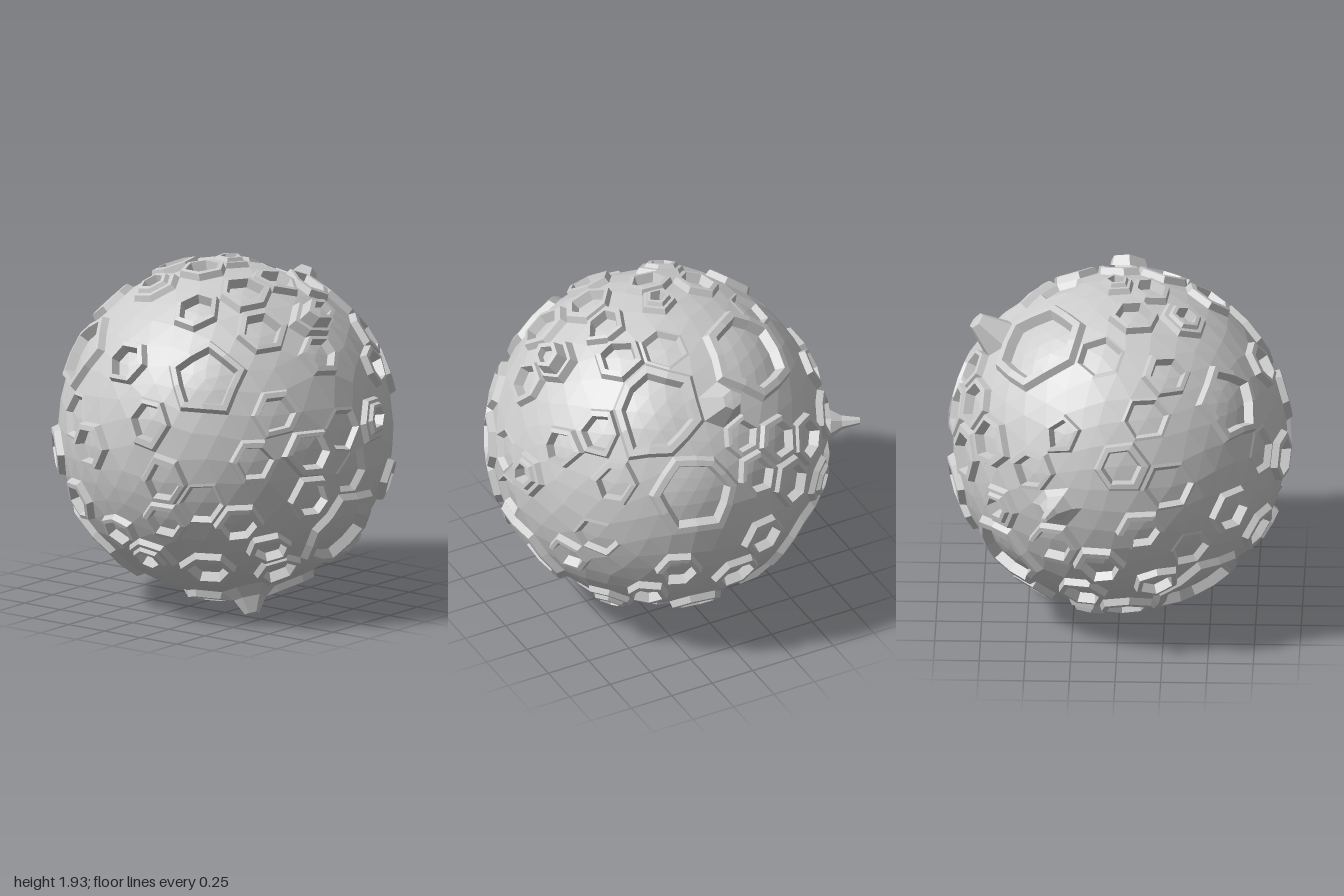
import * as THREE from 'three';

const R = 0.917;
const CENTRE = new THREE.Vector3(0.06, 0.97, 0);

// Each feature: rings of facets it covers, then [scale, height] steps from its edge to its floor
const KINDS = {
  spike: { rings: 1, steps: [[0.65, 0.02], [0.27, 0.1], [0.13, 0.2]] },
  bluntPeak: { rings: 1, steps: [[0.42, 0.16]] },
  peak: { rings: 1, steps: [[0.6, 0.05], [0.27, 0.13]] },
  steppedPeak: { rings: 1, steps: [[0.88, 0.05], [0.72, 0.05], [0.6, 0.12], [0.4, 0.12], [0.34, 0.08]] },
  basin: { rings: 2, steps: [[0.94, 0.038], [0.79, 0.04], [0.68, -0.015]] },
  crater: { rings: 1, steps: [[0.92, 0.037], [0.71, 0.039], [0.59, -0.015]] },
  pit: { rings: 1, steps: [[0.88, 0.004], [0.7, -0.03]] },
  steppedCrater: { rings: 1, steps: [[0.88, 0.03], [0.7, 0.03], [0.6, 0.05], [0.44, 0.05], [0.34, -0.01]] },
};

// Main features by side (azimuth, elevation), as [right, up] offsets from the middle
const SIDES = [
  { az: 0, el: 0,
    basin: [[-0.49, 0.47], [0.39, 0.46], [-0.5, -0.62]],
    peak: [[0.31, -0.84]],
    crater: [[-0.09, 0.48], [-0.26, 0.01], [0.16, 0.24], [-0.68, -0.12], [-0.42, -0.33], [-0.12, -0.44],
      [0.24, -0.13], [0.22, -0.34], [0.67, 0.01], [0.72, 0.26], [0.56, -0.35], [0.64, -0.5]],
    pit: [[-0.46, 0.13], [-0.04, 0.12], [0.43, -0.23]],
    steppedCrater: [[0.03, -0.57]] },
  { az: 90, el: 0,
    basin: [[0, -0.46]],
    crater: [[-0.11, 0.56], [-0.29, -0.24], [0.43, -0.23], [0.32, 0.38], [0.49, 0.51], [-0.29, -0.63], [0.64, 0.27]],
    pit: [[-0.07, 0.12], [-0.07, -0.11], [0.59, -0.11]],
    steppedCrater: [[-0.29, 0.37], [0.43, -0.63]] },
  { az: 0, el: 90,
    basin: [[-0.34, 0.44], [0.33, 0.58]],
    steppedPeak: [[0.61, 0]],
    bluntPeak: [[-0.04, 0.67]],
    crater: [[0.36, 0.03], [-0.28, -0.07], [-0.04, -0.17], [0.36, 0.23], [0.53, -0.37], [-0.59, -0.28]],
    pit: [[-0.51, 0.08], [0.12, 0.34]],
    steppedCrater: [[0.02, 0.01], [-0.09, 0.83]] },
  { az: 215, el: 24,
    basin: [[0.09, -0.72]],
    crater: [[-0.38, 0.16], [-0.18, 0], [-0.39, -0.07], [0.03, -0.12], [0.38, -0.21]] },
  { az: 145, el: -24,
    basin: [[0.31, 0.56]],
    crater: [[0.52, -0.09], [0.26, -0.39]] },
  { az: 250, el: 0, spike: [[0, 0]] },
];

// Direction of a feature on the globe
function direction(az, el, u, v) {
  return new THREE.Vector3(u, v, Math.sqrt(R * R - u * u - v * v))
    .applyAxisAngle(new THREE.Vector3(1, 0, 0), -THREE.MathUtils.degToRad(el))
    .applyAxisAngle(new THREE.Vector3(0, 1, 0), THREE.MathUtils.degToRad(az))
    .normalize();
}

// Small features spread along a spiral from pole to pole
function spiralFeatures(count) {
  const mix = ['crater', 'crater', 'pit', 'crater', 'crater', 'steppedCrater', 'crater'];
  return Array.from({ length: count }, (_, i) => {
    const polar = Math.acos(1 - (2 * i + 1) / count);
    const turn = i * Math.PI * (3 - Math.sqrt(5));
    return { kind: mix[i % mix.length], dir: new THREE.Vector3().setFromSphericalCoords(1, polar, turn), reach: 0.08 };
  });
}

// Icosphere, slightly tilted, as shared vertices and triangles
function icosphere() {
  const geo = new THREE.IcosahedronGeometry(1, 7);
  geo.rotateX(-Math.atan((1 + Math.sqrt(5)) / 2)).rotateY(Math.PI).rotateX(-0.06).rotateY(-0.07);
  const pos = geo.attributes.position;
  const verts = [], faces = [], ids = [];
  for (let i = 0; i < pos.count; i++) {
    const p = new THREE.Vector3().fromBufferAttribute(pos, i);
    let id = verts.findIndex((q) => q.distanceToSquared(p) < 1e-6);
    if (id < 0) id = verts.push(p) - 1;
    ids.push(id);
  }
  for (let i = 0; i < ids.length; i += 3) faces.push(ids.slice(i, i + 3));
  return { verts, faces };
}

// Faces within a number of rings around a vertex
function patchAround(faces, centre, rings) {
  let inside = new Set([centre]), patch = [];
  for (let k = 0; k < rings; k++) {
    patch = faces.filter((f) => f.some((i) => inside.has(i)));
    inside = new Set(patch.flat());
  }
  return patch;
}

function meshFrom(name, corners, material) {
  const geo = new THREE.BufferGeometry().setFromPoints(corners);
  geo.computeVertexNormals();
  const mesh = new THREE.Mesh(geo, material);
  mesh.name = name;
  return mesh;
}

export function createModel() {
  const group = new THREE.Group();
  group.name = 'crateredRock';
  const material = new THREE.MeshStandardMaterial({ color: 0xcccccc, flatShading: true });
  const { verts, faces } = icosphere();

  // Gather features: peaks and basins first, small fillers only in the gaps
  const main = [];
  for (const kind of Object.keys(KINDS))
    for (const side of SIDES)
      for (const [u, v] of side[kind] || [])
        main.push({ kind, dir: direction(side.az, side.el, u, v), reach: 0.14 });
  const fillers = spiralFeatures(100).filter((s) =>
    main.every((m) => m.dir.distanceTo(s.dir) > 0.14 + 0.11 * KINDS[m.kind].rings));

  // Seat each feature on the nearest free patch of facets
  const taken = new Set(), features = [];
  for (const f of [...main, ...fillers]) {
    const { rings } = KINDS[f.kind];
    const near = verts.map((p, id) => ({ id, d: p.distanceTo(f.dir) }))
      .filter((n) => n.d < f.reach).sort((a, b) => a.d - b.d);
    for (const { id } of near) {
      const patch = patchAround(faces, id, rings);
      if (patch.some((t) => taken.has(t))) continue;
      patch.forEach((t) => taken.add(t));
      features.push({ kind: f.kind, id, rings, patch, shift: f.dir.clone().sub(verts[id]) });
      break;
    }
  }

  // Slide the facets gently so the features sit in place
  const points = verts.map((p) => {
    const move = new THREE.Vector3();
    let total = 0.15;
    for (const f of features) {
      const w = f.rings * Math.exp(-p.distanceToSquared(verts[f.id]) / (0.022 * f.rings));
      move.addScaledVector(f.shift, w);
      total += w;
    }
    return p.clone().addScaledVector(move, 1 / total).setLength(R);
  });

  // Plain surface between the features
  const plain = faces.filter((t) => !taken.has(t)).flat().map((i) => points[i]);
  group.add(meshFrom('rockSurface', plain, material));

  // Rims, walls and floors
  for (const { kind, id, patch } of features) {
    const centre = points[id], up = centre.clone().normalize();
    const steps = [[1, 0], ...KINDS[kind].steps];
    const at = (i, [scale, height]) =>
      points[i].clone().sub(centre).multiplyScalar(scale).add(centre).addScaledVector(up, height);
    const edges = patch.flatMap(([a, b, c]) => [[a, b], [b, c], [c, a]]);
    const keys = new Set(edges.map((e) => e.join()));
    const border = edges.filter(([a, b]) => !keys.has([b, a].join()));
    const corners = [];
    for (let s = 0; s + 1 < steps.length; s++)
      for (const [a, b] of border) {
        const a0 = at(a, steps[s]), b0 = at(b, steps[s]);
        const a1 = at(a, steps[s + 1]), b1 = at(b, steps[s + 1]);
        corners.push(a0, b0, b1, a0, b1, a1);
      }
    for (const i of patch.flat()) corners.push(at(i, steps[steps.length - 1]));
    group.add(meshFrom(kind, corners, material));
  }

  // Place the globe and rest it on the ground
  for (const mesh of group.children) mesh.position.copy(CENTRE);
  const lowest = new THREE.Box3().setFromObject(group).min.y;
  for (const mesh of group.children) mesh.position.y -= lowest;
  return group;
}
